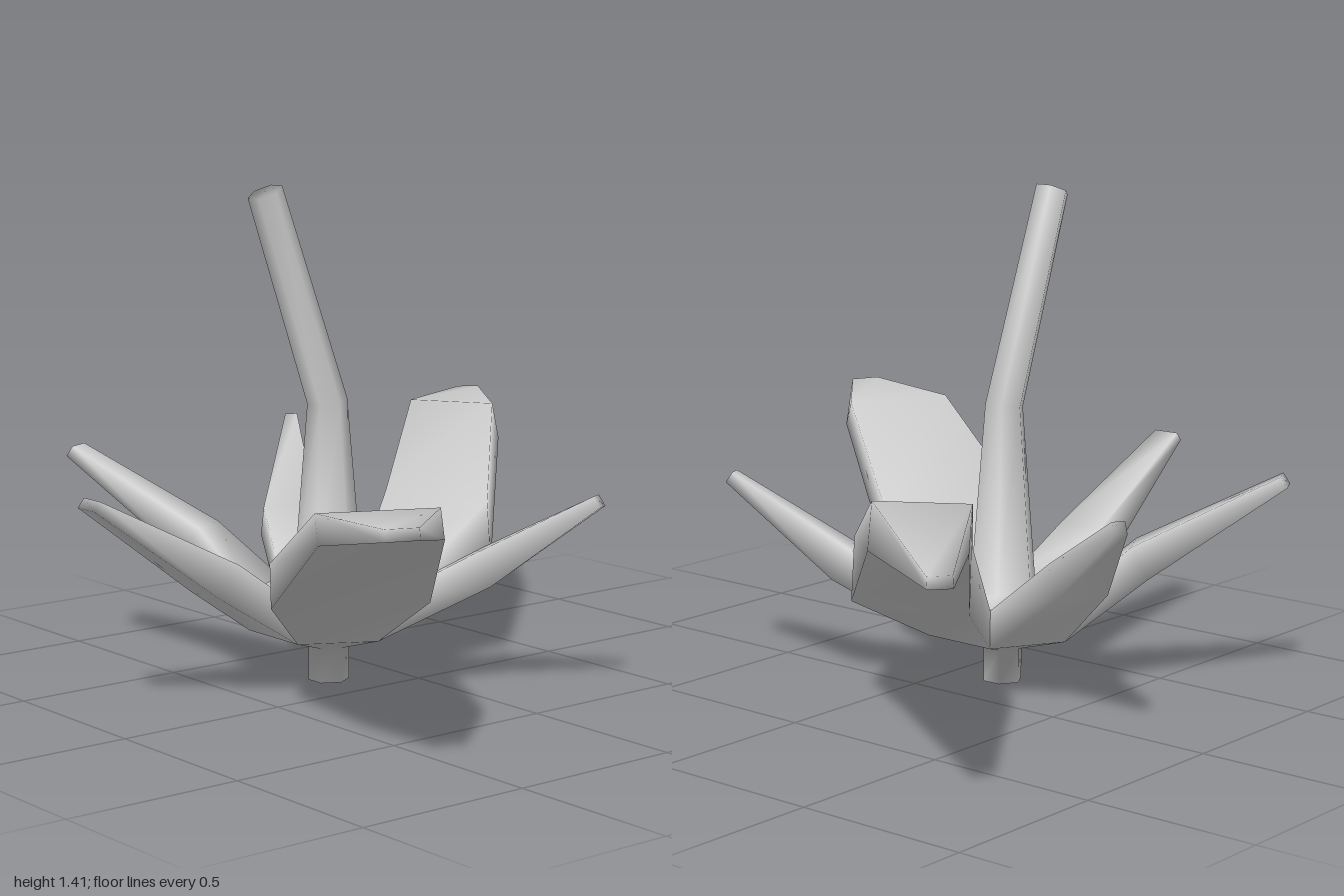
import * as THREE from 'three';

const material = new THREE.MeshStandardMaterial({ color: 0xcccccc });
const CX = -0.2, CZ = -0.16; // plant axis
const HUB = { radius: 0.225, low: 0.15, high: 0.26 };

// Skin through rings of equal count, closed at the chosen ends, with smooth normals.
function loft(name, rings, capStart, capEnd) {
  const n = rings[0].length;
  const index = [];
  for (let r = 0; r < rings.length - 1; r++) {
    for (let i = 0; i < n; i++) {
      const a = r * n + i, b = r * n + (i + 1) % n;
      index.push(a, b, b + n, a, b + n, a + n);
    }
  }
  const last = (rings.length - 1) * n;
  for (let i = 1; i < n - 1; i++) {
    if (capStart) index.push(0, i + 1, i);
    if (capEnd) index.push(last, last + i, last + i + 1);
  }
  const geometry = new THREE.BufferGeometry().setFromPoints(rings.flat());
  geometry.setIndex(index);
  geometry.computeVertexNormals();
  const mesh = new THREE.Mesh(geometry, material);
  mesh.name = name;
  return mesh;
}

// Point k of a hexagon whose corners face front and back.
function corner(k, radius, y, x = CX, tilt = 0) {
  const a = Math.PI / 6 + k * Math.PI / 3;
  const dx = radius * Math.cos(a);
  return new THREE.Vector3(x + dx * Math.cos(tilt), y + dx * Math.sin(tilt), CZ - radius * Math.sin(a));
}

const hexagon = (...args) => Array.from({ length: 6 }, (_, k) => corner(k, ...args));

// Four-cornered leaf section: lower right and left points, heights, and how far the top leans back.
function section([xR, zR, xL, zL, low, high, lean]) {
  const width = Math.hypot(xR - xL, zR - zL);
  const ox = -(zR - zL) / width * lean, oz = (xR - xL) / width * lean;
  return [
    new THREE.Vector3(xR, low, zR),
    new THREE.Vector3(xR - ox, high, zR - oz),
    new THREE.Vector3(xL - ox, high, zL - oz),
    new THREE.Vector3(xL, low, zL),
  ];
}

// Leaves in order around the hub, each growing from one side of the hexagon.
const leaves = [
  ['largeBackLeaf', [
    [0.19, -0.36, 0.28, -0.01, 0.3, 0.48, 0.02],
    [0.52, -0.63, 0.66, -0.41, 0.575, 0.69, 0.07],
    [0.95, -0.94, 1.0, -0.9, 0.62, 0.65, 0.01]]],
  ['smallBackLeftLeaf', [
    [-0.11, -0.6, 0.03, -0.53, 0.34, 0.43, 0.05],
    [0.2, -0.89, 0.23, -0.87, 0.61, 0.64, 0.02]]],
  ['smallBackRightLeaf', [
    [-0.46, -0.5, -0.35, -0.56, 0.33, 0.42, 0.05],
    [-0.63, -0.84, -0.57, -0.87, 0.6, 0.63, 0.02]]],
  ['sideLeaf', [
    [-0.62, -0.09, -0.62, -0.235, 0.3, 0.39, 0.06],
    [-1.0, -0.125, -1.0, -0.205, 0.585, 0.61, 0.02]]],
  ['largeFrontLeaf', [
    [-0.2, 0.29, -0.58, 0.08, 0.3, 0.42, 0.02],
    [-0.53, 0.74, -0.82, 0.6, 0.585, 0.66, 0.04],
    [-0.77, 0.935, -0.85, 0.9, 0.645, 0.675, 0.01]]],
  ['smallFrontLeaf', [
    [0.14, 0.19, 0.05, 0.25, 0.3, 0.39, 0.05],
    [0.22, 0.53, 0.185, 0.545, 0.55, 0.58, 0.02]]],
];

export function createModel() {
  const group = new THREE.Group();

  // Stem below, flaring into the underside of the hub
  group.add(loft('stemBase', [
    hexagon(0.058, 0), hexagon(0.058, 0.1), hexagon(HUB.radius, HUB.low),
  ], true, false));

  // Top of the hub rising into the bent stalk
  group.add(loft('stalk', [
    hexagon(HUB.radius, HUB.high), hexagon(0.1, HUB.high + 0.01),
    hexagon(0.057, 0.8, CX, 0.15), hexagon(0.05, 1.393, -0.41, 0.4),
  ], false, true));

  leaves.forEach(([name, sections], k) => {
    const root = [
      corner(k, HUB.radius, HUB.low), corner(k, HUB.radius, HUB.high),
      corner(k - 1, HUB.radius, HUB.high), corner(k - 1, HUB.radius, HUB.low),
    ];
    group.add(loft(name, [root, ...sections.map(section)], false, true));
  });

  return group;
}
